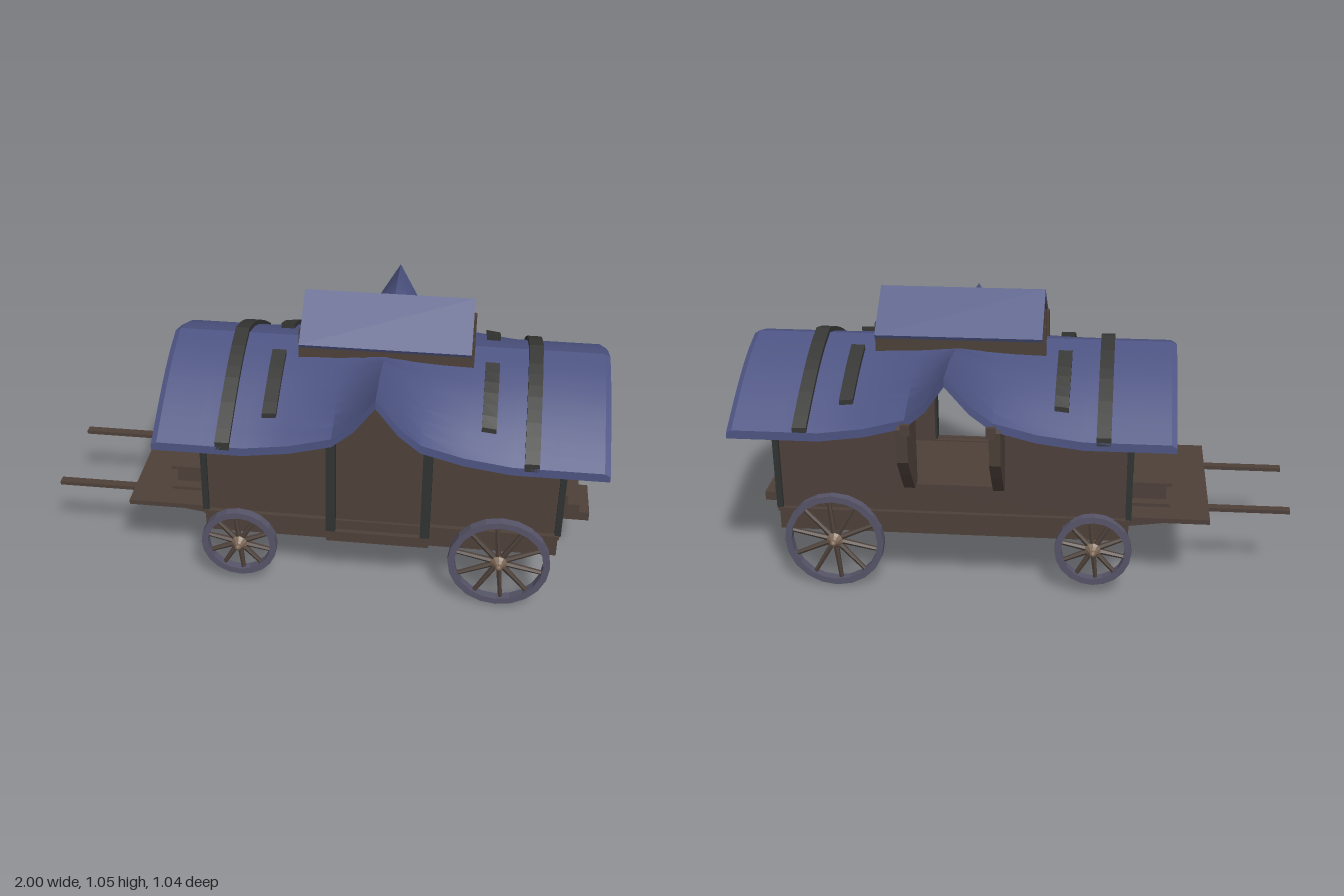
import * as THREE from 'three';
import { toCreasedNormals } from 'three/addons/utils/BufferGeometryUtils.js';

const mat = (color) => new THREE.MeshStandardMaterial({ color, flatShading: true });
const WOOD = mat(0x4d4039), DARK = mat(0x2f3331), STRAP = mat(0x363635), RIM = mat(0x565468), HUB = mat(0x7a6553);
const CLOTH = new THREE.MeshStandardMaterial({ color: 0x4d5482 });
const MID = 0.215; // x of the side dormers

// piecewise linear lookup in [[key, value], ...]
function lerpTable(table, k) {
  for (let i = 1; i < table.length; i++) {
    const [a, va] = table[i - 1], [b, vb] = table[i];
    if (k <= b) return va + (vb - va) * (k - a) / (b - a);
  }
  return table[table.length - 1][1];
}

// roof cross-sections: plain arch, and the raised ridge of a side dormer
const ARCH = [[0, 0.863], [0.1, 0.835], [0.2, 0.792], [0.3, 0.737], [0.38, 0.688], [0.44, 0.65]];
const RIDGE = [[0, 0.863], [0.12, 0.852], [0.22, 0.896], [0.37, 0.916], [0.52, 0.91]];
const LIFT = [[0, 1], [0.075, 0.56], [0.15, 0.28], [0.3, 0.1], [0.46, 0]];
const archY = (z) => lerpTable(ARCH, Math.abs(z));

function roofPoint(x, t, up) {
  const w = lerpTable(LIFT, Math.abs(x - MID)), a = Math.abs(t);
  const y = lerpTable(ARCH, a * 0.44) * (1 - w) + lerpTable(RIDGE, a * 0.52) * w;
  const z = t * (0.44 * (1 - w) + (t > 0 ? 0.495 : 0.54) * w);
  return [x, y + up, z];
}

// closed slab following the roof surface, thinner towards the eaves
function roofShell(xs, ts, top, bottom, bevel = 0) {
  const n = ts.length, ring = 2 * n, last = xs.length - 1, pos = [], idx = [];
  xs.forEach((x, i) => {
    const b = i === 0 || i === last ? bevel : 0;
    ts.forEach((t) => pos.push(...roofPoint(x, t, top - b)));
    [...ts].reverse().forEach((t) => pos.push(...roofPoint(x, t, bottom * (1 - 0.4 * Math.abs(t)))));
  });
  const quad = (a, b, c, d) => idx.push(a, b, c, a, c, d);
  for (let i = 0; i < last; i++)
    for (let j = 0; j < ring; j++) {
      const k = (j + 1) % ring;
      quad(i * ring + j, i * ring + k, (i + 1) * ring + k, (i + 1) * ring + j);
    }
  for (let j = 0; j < n - 1; j++) {
    const lo = ring - 1 - j, e = last * ring;
    quad(lo, lo - 1, j + 1, j);
    quad(e + j, e + j + 1, e + lo - 1, e + lo);
  }
  const g = new THREE.BufferGeometry();
  g.setAttribute('position', new THREE.Float32BufferAttribute(pos, 3));
  g.setIndex(idx);
  return toCreasedNormals(g, 0.45);
}

const span = (a, b, n) => Array.from({ length: n + 1 }, (_, i) => a + (b - a) * i / n);

export function createModel() {
  const root = new THREE.Group();
  const body = new THREE.Group();
  body.name = 'wagon';
  body.position.z = 0.02;
  root.add(body);

  const add = (name, geo, material, parent = body) => {
    const m = new THREE.Mesh(geo, material);
    m.name = name;
    parent.add(m);
    return m;
  };
  // box given by its limits
  const box = (name, x0, x1, y0, y1, z0, z1, material = WOOD) =>
    add(name, new THREE.BoxGeometry(x1 - x0, y1 - y0, z1 - z0), material)
      .position.set((x0 + x1) / 2, (y0 + y1) / 2, (z0 + z1) / 2);
  const outline = (pts, holes = []) => {
    const v = (p) => p.map(([a, b]) => new THREE.Vector2(a, b));
    const s = new THREE.Shape(v(pts));
    s.holes = holes.map((h) => new THREE.Path(v(h)));
    return s;
  };
  // plate in the xy plane, from z0 to z1
  const sidePlate = (name, pts, z0, z1, material = WOOD) =>
    add(name, new THREE.ExtrudeGeometry(outline(pts), { depth: z1 - z0, bevelEnabled: false }), material).position.z = z0;
  // plate in the zy plane, from x0 to x1
  const endPlate = (name, pts, holes, x0, x1, material = WOOD) => {
    const g = new THREE.ExtrudeGeometry(outline(pts, holes), { depth: x1 - x0, bevelEnabled: false });
    add(name, g.rotateY(-Math.PI / 2), material).position.x = x1;
  };
  const gable = (w, y0, yS, yP) => [[-w, y0], [w, y0], [w, yS], [0, yP], [-w, yS]];
  const rect = (a, b, c, d) => [[a, c], [b, c], [b, d], [a, d]];

  // roof cover with its straps
  const xs = [-0.565, -0.545, -0.4, -0.245, -0.085, 0.065, 0.14, MID, 0.29, 0.365, 0.515, 0.675, 0.83, 0.98, 1];
  add('roofCover', roofShell(xs, span(-1, 1, 20), 0, -0.052, 0.012), CLOTH);
  for (const x of [-0.315, 0.74]) add('longStrap', roofShell([x - 0.025, x + 0.025], span(-1, 1, 20), 0.018, -0.02), STRAP);
  for (const x of [-0.165, 0.59])
    for (const s of [-1, 1]) {
      const ts = s > 0 ? span(0.22, 0.78, 6) : span(-0.78, -0.22, 6);
      add('shortStrap', roofShell([x - 0.025, x + 0.025], ts, 0.018, -0.02), STRAP);
    }

  // roof lantern, open at both ends
  for (const x of [-0.085, 0.485]) endPlate('lanternEnd', gable(0.105, 0.82, 0.95, 1.03), [gable(0.06, 0.85, 0.955, 1.005)], x, x + 0.03);
  for (const s of [-1, 1]) {
    box('lanternWall', -0.095, 0.525, 0.81, 0.94, s * 0.093 - 0.014, s * 0.093 + 0.014);
    endPlate('lanternRoof', [[0, 1.05], [s * 0.17, 0.918], [s * 0.163, 0.905], [0, 1.026]], [], -0.085, 0.515, CLOTH);
  }

  // chassis: inset floor inside a rim of beams
  box('floor', -0.4, 0.85, 0.265, 0.295, -0.32, 0.32);
  for (const s of [-1, 1]) {
    const z = (a, b) => (s > 0 ? [a, b] : [-b, -a]);
    box('sideBeam', -0.41, 0.86, 0.218, 0.3, ...z(0.305, 0.34));
    box('sideTrim', -0.415, 0.865, 0.29, 0.303, ...z(0.325, 0.343));
    for (const x of [-0.409, 0.859]) box('cornerPost', x - 0.011, x + 0.011, 0.3, 0.68, ...z(0.315, 0.338), DARK);
  }
  for (const x of [-0.41, 0.83]) box('endBeam', x, x + 0.03, 0.218, 0.3, -0.335, 0.335);

  // side walls: the near one frames the wide door, the far one an open bay
  const wallFoot = [[-0.41, 0.28], [0.86, 0.28]];
  const notched = (x0, x1, y0, y1) => [...wallFoot, [0.86, 0.68], [x1, y1], [x1, y0], [x0, y0], [x0, y1], [-0.41, 0.68]];
  sidePlate('frontWall', notched(0.06, 0.38, 0.3, 0.7), 0.3, 0.325);
  sidePlate('backWall', notched(0.07, 0.36, 0.41, 0.71), -0.325, -0.3);
  add('wideDoor', new THREE.PlaneGeometry(0.33, 0.45), WOOD).position.set(0.22, 0.51, 0.333);
  box('doorSill', 0.035, 0.405, 0.22, 0.262, 0.32, 0.358);
  for (const x of [0.05, 0.39]) box('doorPost', x - 0.017, x + 0.017, 0.262, 0.735, 0.31, 0.358, DARK);
  const cheek = [[-0.3, 0.41], [-0.355, 0.41], [-0.42, 0.49], [-0.475, 0.565], [-0.482, 0.69], [-0.46, 0.7], [-0.41, 0.665], [-0.3, 0.73]];
  for (const x of [0.035, 0.355]) endPlate('bayCheek', cheek, [], x, x + 0.04);
  for (const x of [0.052, 0.345]) box('bayCap', x, x + 0.033, 0.67, 0.71, -0.485, -0.45);

  // end walls with arched trim, door frame and windowed door
  const zs = span(-0.325, 0.325, 12);
  const archTop = (drop, k = 1) => zs.map((z) => [z * k, archY(z) - drop]).reverse();
  const archBand = (a, b, k) => [...archTop(a, k), ...archTop(b, k).reverse()];
  const win = rect(-0.032, 0.032, 0.545, 0.577);
  for (const [x, s] of [[0.86, 1], [-0.41, -1]]) {
    const plate = (name, pts, holes, a, b, m) => endPlate(name, pts, holes, Math.min(x + s * a, x + s * b), Math.max(x + s * a, x + s * b), m);
    plate('endWall', [[-0.325, 0.28], [0.325, 0.28], ...archTop(0.04)], [gable(0.085, 0.3, 0.64, 0.66)], -0.025, 0);
    plate('outerArchTrim', archBand(0.04, 0.1, 1.04), [], 0, 0.025);
    plate('innerArchTrim', archBand(0.1, 0.145, 0.98), [], 0, 0.012);
    plate('doorFrame', gable(0.103, 0.3, 0.645, 0.672), [gable(0.085, 0.301, 0.635, 0.658)], -0.02, 0.015, DARK);
    plate('endDoor', gable(0.09, 0.3, 0.64, 0.66), [win], -0.04, -0.025);
    plate('doorPanel', gable(0.06, 0.42, 0.592, 0.615), [win], -0.026, -0.015);
    for (const q of [-1, 1]) plate('wallTrim', rect(q * 0.315 - 0.015, q * 0.315 + 0.015, 0.3, 0.67), [], 0, 0.01);
  }

  // rear steps
  [[0.905, 0.265, 0.305], [0.95, 0.232, 0.268], [0.988, 0.2, 0.235]].forEach(([x, y0, y1]) => box('rearStep', 0.83, x, y0, y1, -0.09, 0.09));

  // driving platform, bench and shafts
  box('platform', -0.7, -0.4, 0.288, 0.306, -0.32, 0.32);
  sidePlate('platformSupport', [[-0.62, 0.289], [-0.41, 0.26], [-0.41, 0.289]], -0.3, 0.3);
  box('benchStep', -0.56, -0.4, 0.305, 0.318, -0.23, 0.23);
  box('bench', -0.545, -0.4, 0.315, 0.376, -0.19, 0.19);
  box('benchTop', -0.565, -0.4, 0.374, 0.387, -0.2, 0.2);
  for (const z of [-0.165, 0.192]) box('shaft', -1, -0.4, 0.27, 0.284, z - 0.016, z + 0.016);

  // wheels
  const V = (a, b) => new THREE.Vector2(a, b);
  for (const [x, r] of [[-0.285, 0.139], [0.66, 0.183]])
    for (const s of [-1, 1]) {
      const wheel = new THREE.Group();
      wheel.name = 'wheel';
      wheel.position.set(x, 0.185, s > 0 ? 0.36 : -0.35);
      if (s < 0) wheel.rotation.y = Math.PI;
      body.add(wheel);
      const i = r - 0.024, h = 0.016;
      add('rim', new THREE.LatheGeometry([V(i, -h), V(r, -h), V(r, h), V(i, h), V(i, -h)], 20).rotateX(Math.PI / 2), RIM, wheel);
      const hub = [V(0, -0.016), V(0.03, -0.014), V(0.03, 0.01), V(0.022, 0.018), V(0.013, 0.03), V(0.011, 0.04), V(0, 0.046)];
      add('hub', new THREE.LatheGeometry(hub, 10).rotateX(Math.PI / 2), HUB, wheel);
      for (let k = 0; k < 10; k++) {
        const g = new THREE.CylinderGeometry(0.008, 0.011, i - 0.01, 6).translate(0, (i + 0.02) / 2, 0);
        add('spoke', g, WOOD, wheel).rotation.z = k * Math.PI / 5 + 0.1;
      }
    }
  return root;
}
